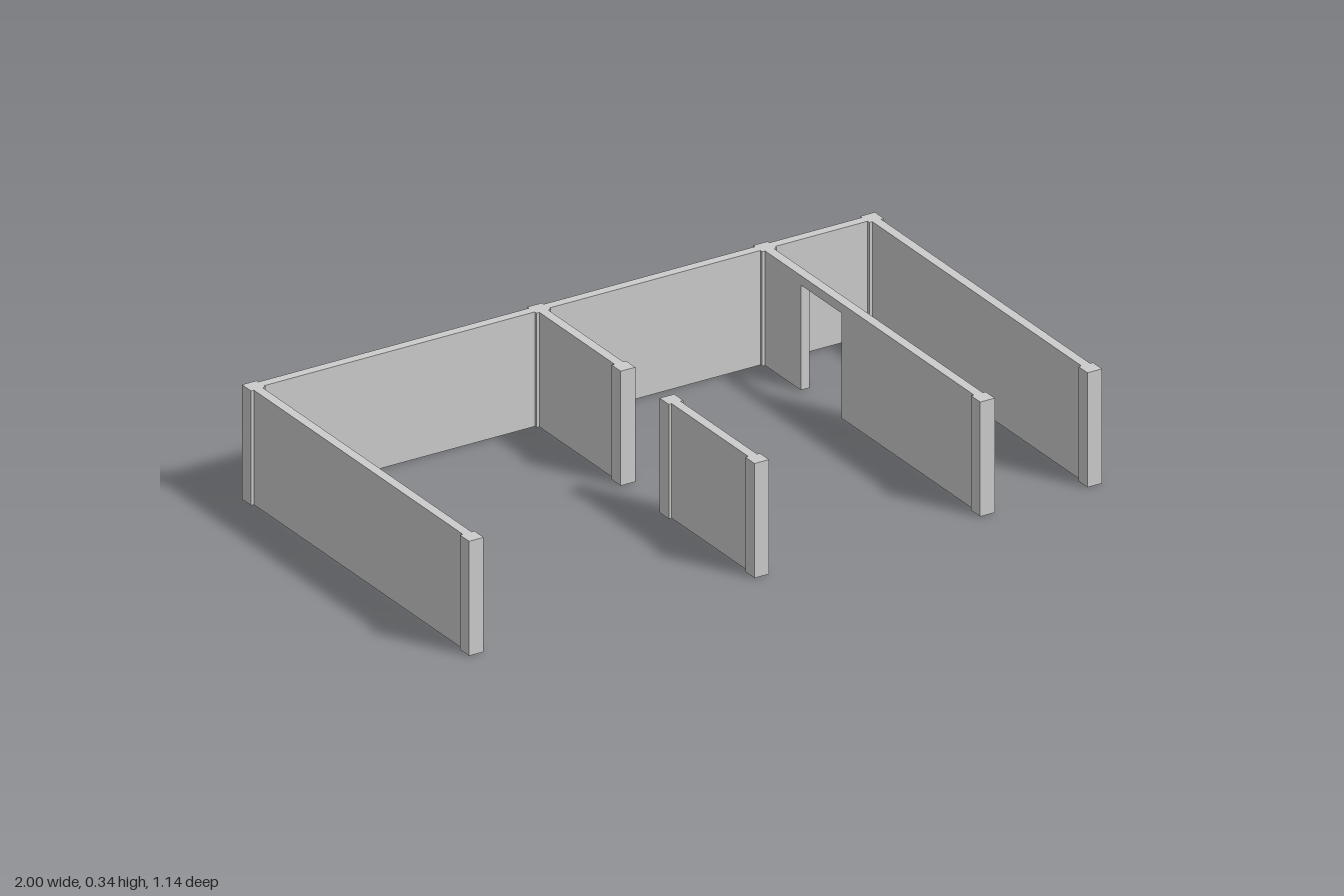
import * as THREE from 'three';

const H = 0.34;        // wall height
const POST = 0.046;    // square post width
const THICK = 0.028;   // wall thickness
const END = 0.548;     // z of the front and back post centres
const SIDE = 0.977;    // x of the outer walls
const MIDDLE = -0.075; // x of the interrupted inner wall
const INNER = 0.638;   // x of the inner wall with a doorway

export function createModel() {
  const model = new THREE.Group();
  const material = new THREE.MeshStandardMaterial({ color: 0xcccccc, flatShading: true });

  function block(name, w, h, d, x, y, z) {
    const mesh = new THREE.Mesh(new THREE.BoxGeometry(w, h, d), material);
    mesh.name = name;
    mesh.position.set(x, y, z);
    model.add(mesh);
  }
  const post = (x, z) => block('post', POST, H, POST, x, H / 2, z);
  // Wall panel running front to back, from z0 to z1
  const panel = (name, x, z0, z1, y0 = 0) =>
    block(name, THICK, H - y0, z1 - z0, x, (H + y0) / 2, (z0 + z1) / 2);

  // Posts at both ends of every front-to-back wall
  for (const x of [-SIDE, MIDDLE, INNER, SIDE]) {
    post(x, -END);
    post(x, END);
  }

  // Back wall, one panel per bay
  const bays = [-SIDE, MIDDLE, INNER, SIDE];
  for (let i = 0; i < 3; i++) {
    const w = bays[i + 1] - bays[i] - POST;
    block('backWall', w, H, THICK, (bays[i] + bays[i + 1]) / 2, H / 2, -END);
  }

  // Outer side walls
  const edge = END - POST / 2;
  panel('rightWall', -SIDE, -edge, edge);
  panel('leftWall', SIDE, -edge, edge);

  // Middle wall, open between two posts
  post(MIDDLE, -0.125);
  post(MIDDLE, 0.117);
  panel('middleWallBack', MIDDLE, -edge, -0.148);
  panel('middleWallFront', MIDDLE, 0.14, edge);

  // Inner wall with a doorway under a thin lintel
  const doorBack = -0.345, doorFront = -0.14;
  panel('innerWallBack', INNER, -edge, doorBack);
  panel('innerWallFront', INNER, doorFront, edge);
  panel('doorLintel', INNER, doorBack, doorFront, 0.312);

  return model;
}
